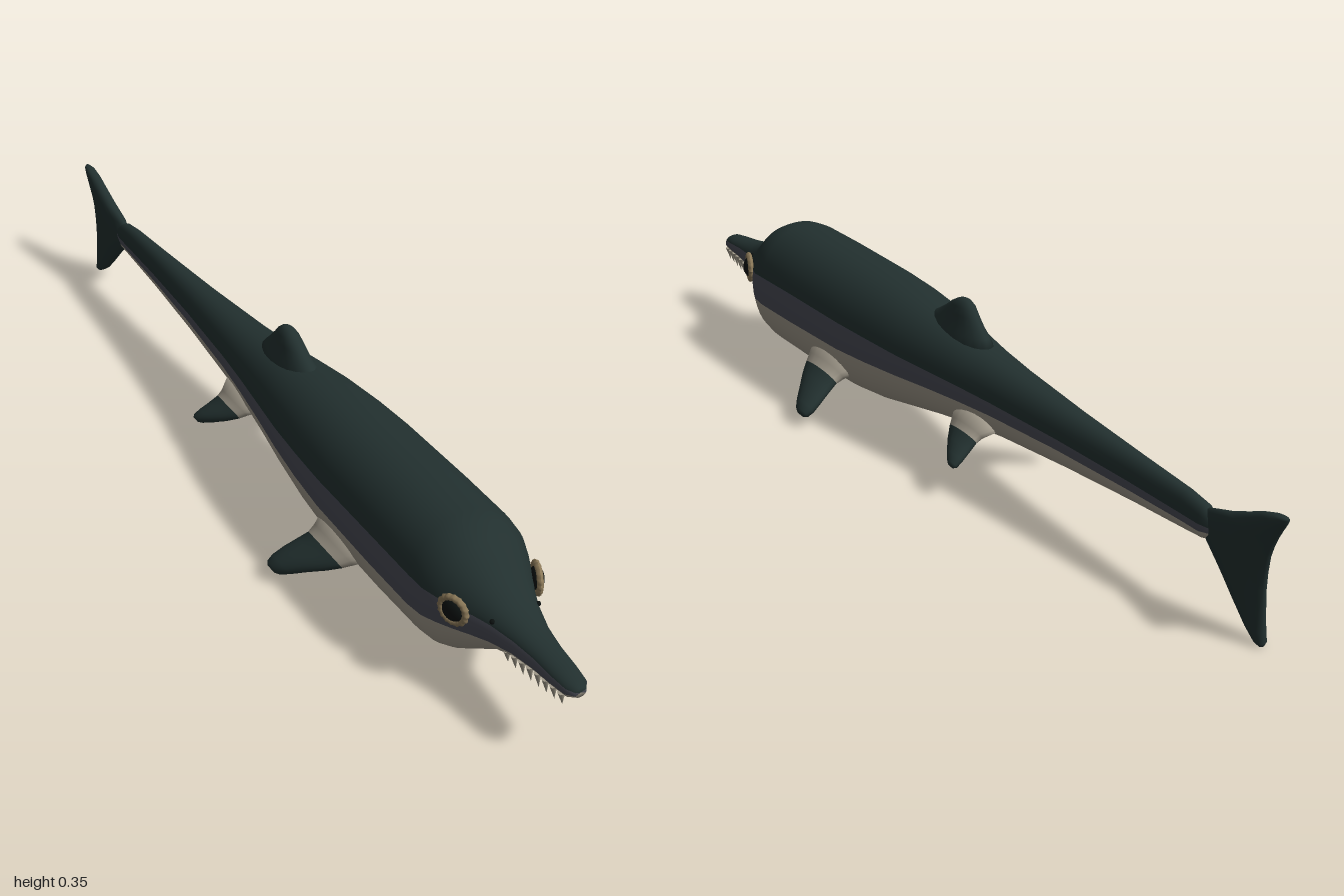
import * as THREE from 'three';

const mat = (name, hex) => {
  const m = new THREE.MeshStandardMaterial({ color: hex });
  m.name = name;
  return m;
};

// Skin a list of closed rings; the ends are closed to their centres.
// slot(i, j) picks the material index of each quad.
function loft(name, rings, materials, slot = () => 0) {
  const centre = (ring) => {
    const c = new THREE.Vector3();
    ring.forEach((p) => c.addScaledVector(p, 1 / ring.length));
    return ring.map(() => c.clone());
  };
  const all = [centre(rings[0]), ...rings, centre(rings[rings.length - 1])];
  const n = rings[0].length;
  const lists = materials.map(() => []);
  for (let i = 0; i < all.length - 1; i++) {
    for (let j = 0; j < n; j++) {
      const a = i * n + j, b = i * n + (j + 1) % n;
      const list = lists[slot(i, j)];
      if (i > 0) list.push(a, a + n, b);
      if (i < all.length - 2) list.push(b, a + n, b + n);
      if (i === all.length - 2) list.push(a, a + n, b);
    }
  }
  const geo = new THREE.BufferGeometry().setFromPoints(all.flat());
  geo.setIndex(lists.flat());
  let start = 0;
  lists.forEach((l, k) => {
    geo.addGroup(start, l.length, k);
    start += l.length;
  });
  geo.computeVertexNormals();
  const mesh = new THREE.Mesh(geo, materials);
  mesh.name = name;
  return mesh;
}

// Elliptical ring from a centre and two half-axis vectors
function ellipse(c, u, v, n = 20) {
  return Array.from({ length: n }, (_, k) => {
    const a = (k / n) * Math.PI * 2;
    return c.clone().addScaledVector(u, Math.cos(a)).addScaledVector(v, Math.sin(a));
  });
}

// Upright fin from rows of [y, front z, back z, half thickness]
function uprightFin(name, rows, material) {
  const rings = rows.map(([y, f, b, t]) => ellipse(
    new THREE.Vector3(0, y, (f + b) / 2), new THREE.Vector3(t, 0, 0), new THREE.Vector3(0, 0, (f - b) / 2)));
  return loft(name, rings, [material]);
}

// Side flipper from rows of [x, y, front z, back z, half thickness]; the root collar takes the belly colour
function flipper(name, rows, side, materials) {
  const a = rows[0], e = rows[rows.length - 1];
  const d = new THREE.Vector3(side * (e[0] - a[0]), e[1] - a[1], 0).normalize();
  const rings = rows.map(([x, y, f, b, t]) => ellipse(
    new THREE.Vector3(side * x, y, (f + b) / 2),
    new THREE.Vector3(0, 0, (f - b) / 2), new THREE.Vector3(-d.y * t, d.x * t, 0)));
  return loft(name, rings, materials, (i) => (i < 3 ? 0 : 1));
}

// Body stations: z, top, bottom, half width, lower edge of back colour, lower edge of flank colour
const STATIONS = [
  [1.0, 0.18, 0.16, 0.012, 0.174, 0.166],
  [0.985, 0.188, 0.152, 0.024, 0.177, 0.165],
  [0.95, 0.193, 0.148, 0.029, 0.18, 0.164],
  [0.9, 0.199, 0.144, 0.033, 0.184, 0.162],
  [0.85, 0.208, 0.138, 0.041, 0.188, 0.16],
  [0.8, 0.226, 0.122, 0.056, 0.194, 0.156],
  [0.765, 0.247, 0.097, 0.071, 0.198, 0.153],
  [0.73, 0.276, 0.072, 0.089, 0.202, 0.15],
  [0.7, 0.298, 0.051, 0.104, 0.206, 0.149],
  [0.67, 0.312, 0.038, 0.116, 0.21, 0.148],
  [0.63, 0.317, 0.033, 0.121, 0.214, 0.148],
  [0.5, 0.317, 0.032, 0.122, 0.216, 0.15],
  [0.3, 0.314, 0.035, 0.119, 0.214, 0.153],
  [0.2, 0.31, 0.046, 0.112, 0.212, 0.157],
  [0.1, 0.301, 0.065, 0.101, 0.208, 0.161],
  [0, 0.287, 0.083, 0.086, 0.204, 0.165],
  [-0.1, 0.271, 0.098, 0.072, 0.201, 0.168],
  [-0.2, 0.26, 0.109, 0.06, 0.198, 0.17],
  [-0.4, 0.243, 0.123, 0.042, 0.192, 0.17],
  [-0.6, 0.229, 0.134, 0.028, 0.184, 0.166],
  [-0.74, 0.219, 0.14, 0.021, 0.178, 0.163],
  [-0.79, 0.21, 0.143, 0.019, 0.176, 0.161],
  [-0.82, 0.194, 0.154, 0.012, 0.175, 0.165],
];
const BACK = 20, FLANK = 3, BELLY = 18; // segments in each colour band

function bodyRing([z, top, bottom, w, yBack, yFlank]) {
  const cy = (top + bottom) / 2, h = (top - bottom) / 2, e = 0.92;
  const pw = (s) => Math.sign(s) * Math.abs(s) ** e;
  const angleAt = (y) => {
    const t = (y - cy) / h;
    return Math.asin(Math.sign(t) * Math.min(1, Math.abs(t) ** (1 / e)));
  };
  const a = angleAt(yBack), b = angleAt(yFlank);
  const stops = [[a, Math.PI - a, BACK], [Math.PI - a, Math.PI - b, FLANK],
    [Math.PI - b, Math.PI * 2 + b, BELLY], [Math.PI * 2 + b, Math.PI * 2 + a, FLANK]];
  return stops.flatMap(([s, t, n]) => Array.from({ length: n }, (_, k) => {
    const q = s + ((t - s) * k) / n;
    return new THREE.Vector3(w * pw(Math.cos(q)), cy + h * pw(Math.sin(q)), z);
  }));
}

export function createModel() {
  const back = mat('dark back', 0x22302f);
  const flank = mat('grey flank', 0x484a54);
  const belly = mat('pale belly', 0x9f988a);
  const gold = mat('eye ring tan', 0x8a7858);
  const black = mat('eye black', 0x0b100f);
  const toothMat = mat('tooth ivory', 0xa39c8c);
  const model = new THREE.Group();
  model.name = 'marineReptile';

  // Body and snout in three colour bands
  model.add(loft('body', STATIONS.map(bodyRing), [back, flank, belly], (i, j) => {
    if (j < BACK) return 0;
    return j < BACK + FLANK || j >= BACK + FLANK + BELLY ? 1 : 2;
  }));

  // Dorsal fin and tail fluke
  model.add(uprightFin('dorsalFin', [
    [0.25, 0.14, -0.13, 0.045], [0.285, 0.1, -0.1, 0.034], [0.3, 0.07, -0.085, 0.027],
    [0.32, 0.038, -0.066, 0.023], [0.336, 0.016, -0.053, 0.019], [0.346, -0.002, -0.041, 0.012],
    [0.35, -0.012, -0.033, 0.005]], back));
  model.add(uprightFin('tailFluke', [
    [0.002, -0.948, -0.958, 0.006], [0.01, -0.935, -0.962, 0.012], [0.03, -0.908, -0.96, 0.014],
    [0.07, -0.868, -0.957, 0.015], [0.11, -0.83, -0.955, 0.016], [0.145, -0.795, -0.957, 0.017],
    [0.18, -0.775, -0.962, 0.017], [0.205, -0.795, -0.97, 0.017], [0.222, -0.85, -0.977, 0.016],
    [0.24, -0.895, -0.986, 0.015], [0.256, -0.93, -0.995, 0.013], [0.266, -0.96, -1.0, 0.01],
    [0.27, -0.98, -0.998, 0.005]], back));

  for (const side of [1, -1]) {
    const label = side > 0 ? 'left' : 'right';

    // Front and rear flippers
    model.add(flipper(label + 'FrontFlipper', [
      [0.08, 0.112, 0.45, 0.27, 0.04], [0.112, 0.092, 0.425, 0.285, 0.028], [0.128, 0.082, 0.412, 0.288, 0.023],
      [0.15, 0.069, 0.39, 0.281, 0.021], [0.175, 0.054, 0.36, 0.273, 0.019], [0.198, 0.039, 0.333, 0.268, 0.017],
      [0.211, 0.03, 0.315, 0.27, 0.013], [0.216, 0.027, 0.303, 0.277, 0.007]], side, [belly, back]));
    model.add(flipper(label + 'RearFlipper', [
      [0.045, 0.136, -0.06, -0.2, 0.03], [0.068, 0.12, -0.08, -0.185, 0.02], [0.08, 0.111, -0.09, -0.182, 0.017],
      [0.1, 0.097, -0.113, -0.186, 0.016], [0.12, 0.084, -0.14, -0.19, 0.014],
      [0.133, 0.075, -0.16, -0.191, 0.01], [0.138, 0.072, -0.17, -0.187, 0.005]], side, [belly, back]));

    // Eye: dark ball inside a scalloped ring
    const eye = new THREE.Group();
    eye.name = label + 'Eye';
    const ringGeo = new THREE.TorusGeometry(0.027, 0.0065, 8, 48);
    const p = ringGeo.attributes.position;
    for (let i = 0; i < p.count; i++) {
      const s = 1 + 0.04 * Math.cos(16 * Math.atan2(p.getY(i), p.getX(i)));
      p.setXY(i, p.getX(i) * s, p.getY(i) * s);
    }
    ringGeo.computeVertexNormals();
    const ring = new THREE.Mesh(ringGeo, gold);
    ring.name = 'eyeRing';
    const ball = new THREE.Mesh(new THREE.SphereGeometry(0.023, 24, 16), black);
    ball.name = 'eyeball';
    ball.scale.z = 0.6;
    eye.add(ring, ball);
    eye.position.set(side * 0.091, 0.2, 0.737);
    eye.rotation.y = side * 1.2;
    model.add(eye);

    // Nostril
    const nostril = new THREE.Mesh(new THREE.SphereGeometry(0.005, 10, 8), black);
    nostril.name = label + 'Nostril';
    nostril.position.set(side * 0.05, 0.202, 0.8);
    model.add(nostril);

    // Row of hanging teeth
    for (let k = 0; k < 8; k++) {
      const t = k / 7, len = 0.03 + 0.008 * Math.sin(t * Math.PI);
      const tooth = new THREE.Mesh(new THREE.ConeGeometry(0.0075, len, 8), toothMat);
      tooth.name = label + 'Tooth';
      tooth.position.set(side * (0.02 + 0.013 * t), 0.147 - 0.01 * t, 0.975 - 0.145 * t);
      tooth.rotation.set(Math.PI, 0, side * 0.15);
      model.add(tooth);
    }
  }
  return model;
}
